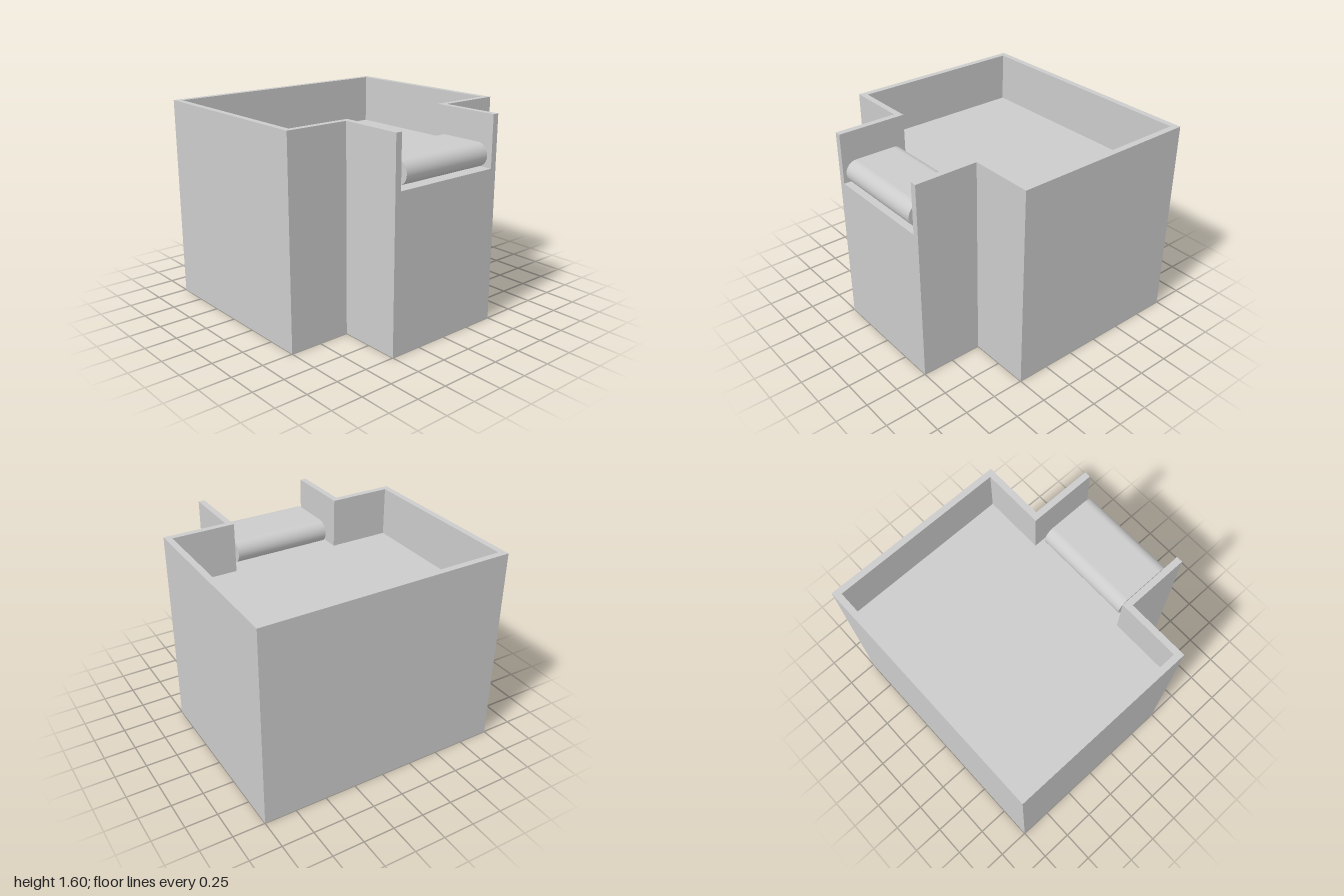
import * as THREE from 'three';

const HEIGHT = 1.6, FLOOR = 1.2, RIM = 0.05;
const material = new THREE.MeshStandardMaterial({ color: 0xcccccc, side: THREE.DoubleSide });

function addMesh(parent, name, geometry) {
  const mesh = new THREE.Mesh(geometry, material);
  mesh.name = name;
  parent.add(mesh);
  return mesh;
}

// T-shaped plan as [x, z], running from the front right of the neck round the back
function plan(inset) {
  const half = [[0.5 - inset, 1], [0.5 - inset, 0.5 - inset], [1 - inset, 0.5 - inset], [1 - inset, -1 + inset]];
  return [...half, ...half.map(([x, z]) => [-x, z]).reverse()];
}

// Upright panels along a path, facing the path's right-hand side
function addWalls(parent, name, path, y0, y1) {
  const walls = new THREE.Group();
  walls.name = name;
  for (let i = 0; i < path.length - 1; i++) {
    const [ax, az] = path[i], [bx, bz] = path[i + 1];
    const panel = addMesh(walls, 'wallPanel', new THREE.PlaneGeometry(Math.hypot(bx - ax, bz - az), y1 - y0));
    panel.position.set((ax + bx) / 2, (y0 + y1) / 2, (az + bz) / 2);
    panel.rotation.y = Math.atan2(az - bz, bx - ax);
  }
  parent.add(walls);
}

const polygon = (points) => new THREE.Shape(points.map(([x, y]) => new THREE.Vector2(x, y)));

// Level surface over a plan, facing up
function addLevel(parent, name, points, y) {
  const geometry = new THREE.ShapeGeometry(polygon(points.map(([x, z]) => [x, -z])));
  addMesh(parent, name, geometry.rotateX(-Math.PI / 2)).position.y = y;
}

export function createModel() {
  const model = new THREE.Group();
  model.name = 'walledBlock';
  const outer = plan(0), inner = plan(RIM);
  const innerBack = [...inner].reverse();

  // Hollow shell, open underneath
  addWalls(model, 'outerWalls', outer, 0, HEIGHT);
  addWalls(model, 'innerWalls', innerBack, FLOOR, HEIGHT);
  addLevel(model, 'rim', [...outer, ...innerBack], HEIGHT);
  addLevel(model, 'floor', inner, FLOOR);

  // Front wall with the opening above floor level
  const w = 0.5 - RIM;
  const front = polygon([[-0.5, 0], [0.5, 0], [0.5, HEIGHT], [w, HEIGHT], [w, FLOOR], [-w, FLOOR], [-w, HEIGHT], [-0.5, HEIGHT]]);
  addMesh(model, 'frontWall', new THREE.ShapeGeometry(front)).position.z = 1;

  // Pad in the neck: flat top and bottom, round front and back
  const r = 0.09, run = 0.25 - r;
  const profile = new THREE.Shape();
  profile.moveTo(-run, -r);
  profile.lineTo(run, -r);
  profile.absarc(run, 0, r, -Math.PI / 2, Math.PI / 2, false);
  profile.lineTo(-run, r);
  profile.absarc(-run, 0, r, Math.PI / 2, Math.PI * 1.5, false);
  const padGeometry = new THREE.ExtrudeGeometry(profile, { depth: 0.8, bevelEnabled: false, curveSegments: 24 });
  padGeometry.translate(0, 0, -0.4);
  // Smooth normals round the sides, flat ends kept
  const pos = padGeometry.attributes.position, nor = padGeometry.attributes.normal;
  for (let i = 0; i < pos.count; i++) {
    if (Math.abs(nor.getZ(i)) > 0.5) continue;
    const cx = THREE.MathUtils.clamp(pos.getX(i), -run, run);
    nor.setXYZ(i, (pos.getX(i) - cx) / r, pos.getY(i) / r, 0);
  }
  padGeometry.rotateY(Math.PI / 2);
  addMesh(model, 'roundedPad', padGeometry).position.set(0, 1.303, 0.75);

  return model;
}
